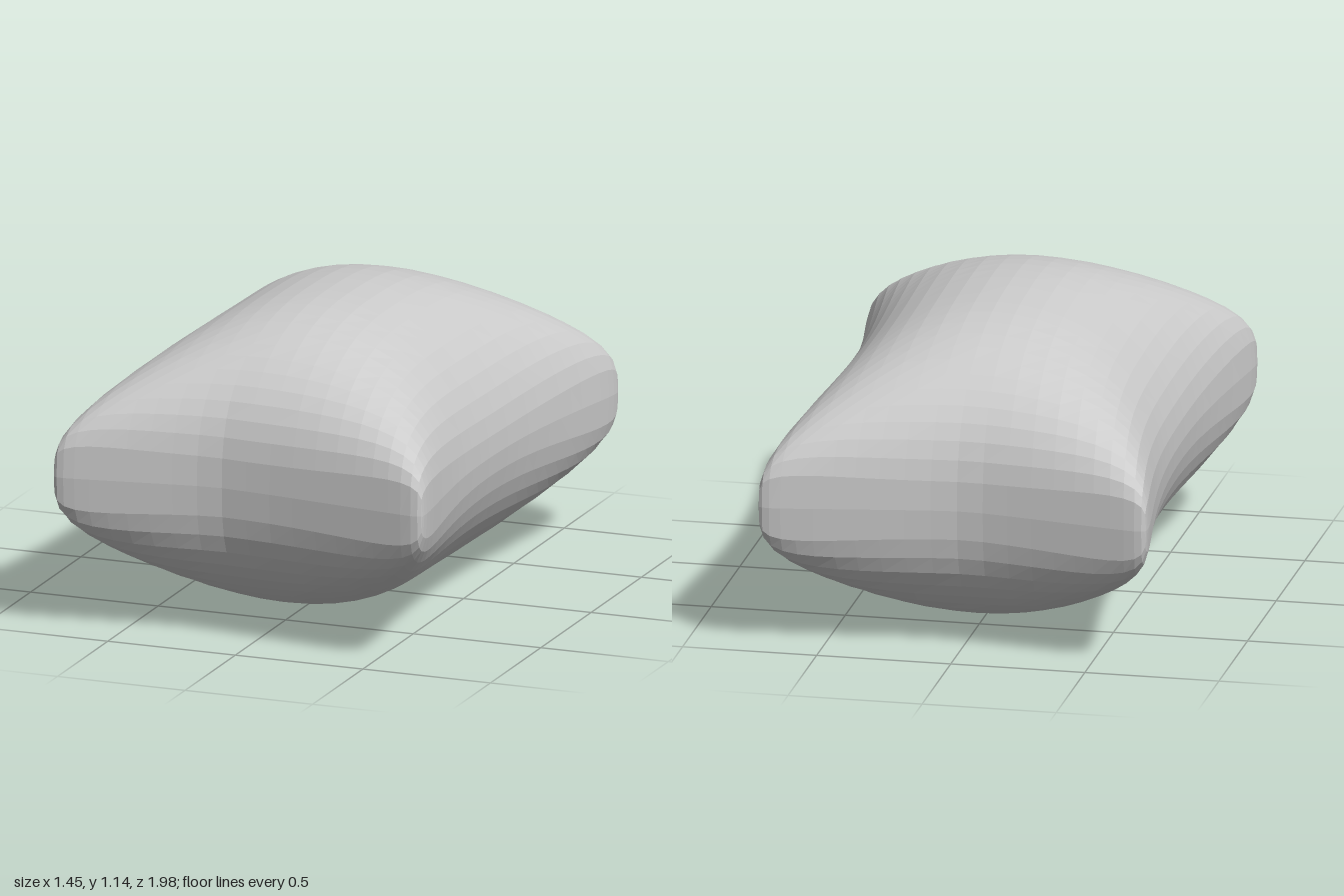
import * as THREE from 'three';
import { mergeGeometries, mergeVertices } from 'three/addons/utils/BufferGeometryUtils.js';

const HALF_HEIGHT = 0.57;

// Maps a grid point (u, v in -1..1) to the puffed pillow surface; side is +1 top, -1 bottom
function pillowPoint(u, v, side) {
  const au = Math.abs(u), av = Math.abs(v);

  // long sides curve inwards between the corners
  const halfX = 0.64 + 0.1 * Math.pow(av, 2.2);

  // short ends are pinched near the middle
  const pinch = v > 0 ? -0.15 : -0.04;
  const d = (u - pinch) / (1 - pinch * Math.sign(u));
  const flare = 0.122 * (Math.hypot(d, 0.1) - 0.1);
  const halfZ = 0.89 + flare * Math.pow(av, 3);

  // stuffing: full in the middle, rounded at the edges, plump at the corners
  const acrossX = Math.pow(Math.max(0, 1 - au * au), 0.5 * (1 - 0.4 * v * v));
  const acrossZ = Math.pow(Math.max(0, 1 - Math.pow(av, 2.6)), 0.385 * (1 - 0.4 * u * u));

  // blunt the corner tips
  const blunt = 1 - 0.025 * Math.pow(au * av, 24);
  const z = v * halfZ * blunt;
  return [u * halfX * blunt, HALF_HEIGHT + 0.025 * z + side * HALF_HEIGHT * acrossX * acrossZ, z];
}

// One half of the cover, with rows packed closer towards the seam
function coverHalf(side) {
  const g = new THREE.PlaneGeometry(2, 2, 24, 30).rotateX(-side * Math.PI / 2);
  const p = g.attributes.position;
  const pack = (t) => Math.sin(THREE.MathUtils.clamp(t, -1, 1) * Math.PI / 2);
  for (let i = 0; i < p.count; i++) {
    p.setXYZ(i, ...pillowPoint(pack(p.getX(i)), pack(p.getZ(i)), side));
  }
  g.deleteAttribute('uv');
  g.deleteAttribute('normal');
  return g;
}

export function createModel() {
  const group = new THREE.Group();
  group.name = 'pillow';

  // top and bottom joined along the seam
  const geometry = mergeVertices(mergeGeometries([coverHalf(1), coverHalf(-1)]), 1e-4);
  geometry.computeVertexNormals();
  const cover = new THREE.Mesh(
    geometry,
    new THREE.MeshStandardMaterial({ color: 0xcccccc, flatShading: true })
  );
  cover.name = 'pillowCover';
  group.add(cover);
  return group;
}
